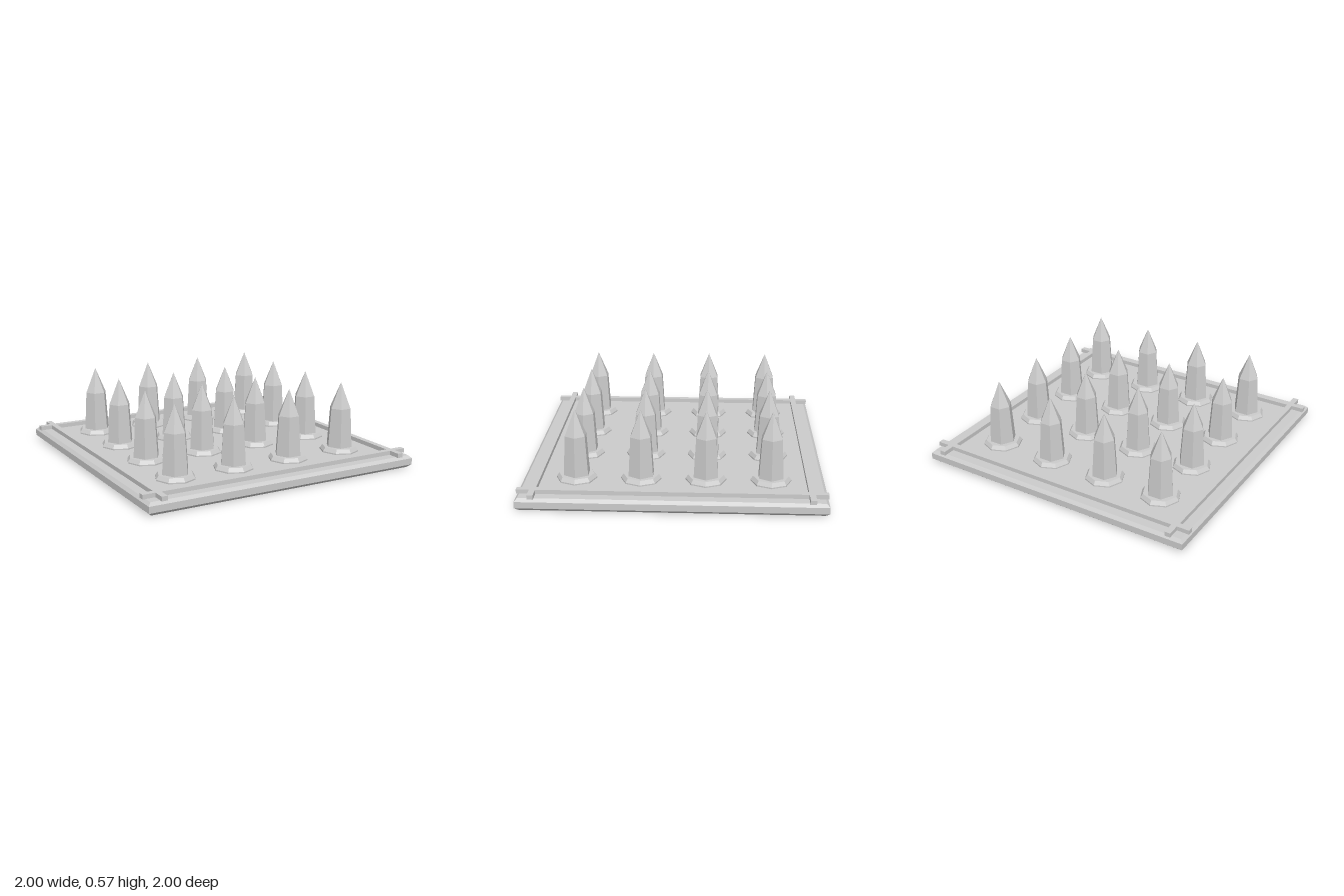
import * as THREE from 'three';

const grey = new THREE.MeshStandardMaterial({ color: 0xcccccc, flatShading: true });

// Faceted solid turned from [radius, y] points, bottom to top
function facetedSolid(points, sides, turn) {
  const profile = points.map(([r, y]) => new THREE.Vector2(r, y));
  const geometry = new THREE.LatheGeometry(profile, sides).rotateY(turn).toNonIndexed();
  geometry.computeVertexNormals();
  return geometry;
}

function addMesh(parent, name, geometry, x = 0, y = 0, z = 0) {
  const mesh = new THREE.Mesh(geometry, grey);
  mesh.name = name;
  mesh.position.set(x, y, z);
  parent.add(mesh);
  return mesh;
}

export function createModel() {
  const model = new THREE.Group();
  model.name = 'spikeTrap';

  // Square slab, chamfered along its top and bottom edges
  const d = Math.SQRT2;
  const slab = facetedSolid(
    [[0, 0], [0.975 * d, 0], [d, 0.022], [d, 0.066], [0.98 * d, 0.086], [0, 0.086]],
    4, Math.PI / 4);
  addMesh(model, 'basePlate', slab);

  // Raised border strips crossing near each corner
  const alongX = new THREE.BoxGeometry(2, 0.03, 0.04);
  const alongZ = new THREE.BoxGeometry(0.04, 0.03, 2);
  for (const side of [-1, 1]) {
    addMesh(model, 'borderStripX', alongX, 0, 0.1, side * 0.895);
    addMesh(model, 'borderStripZ', alongZ, side * 0.895, 0.1, 0);
  }

  // Four by four spikes, each in an octagonal collar
  const collar = facetedSolid([[0.135, 0.08], [0.135, 0.095], [0.118, 0.12], [0, 0.12]], 8, 0);
  const spike = facetedSolid([[0.094, 0.11], [0.076, 0.392], [0, 0.571]], 6, Math.PI / 6);
  for (let row = 0; row < 4; row++) {
    for (let col = 0; col < 4; col++) {
      const unit = new THREE.Group();
      unit.name = 'spikeUnit';
      unit.position.set((col - 1.5) * 0.429, 0, (row - 1.5) * 0.429);
      addMesh(unit, 'collar', collar);
      addMesh(unit, 'spike', spike);
      model.add(unit);
    }
  }
  return model;
}
